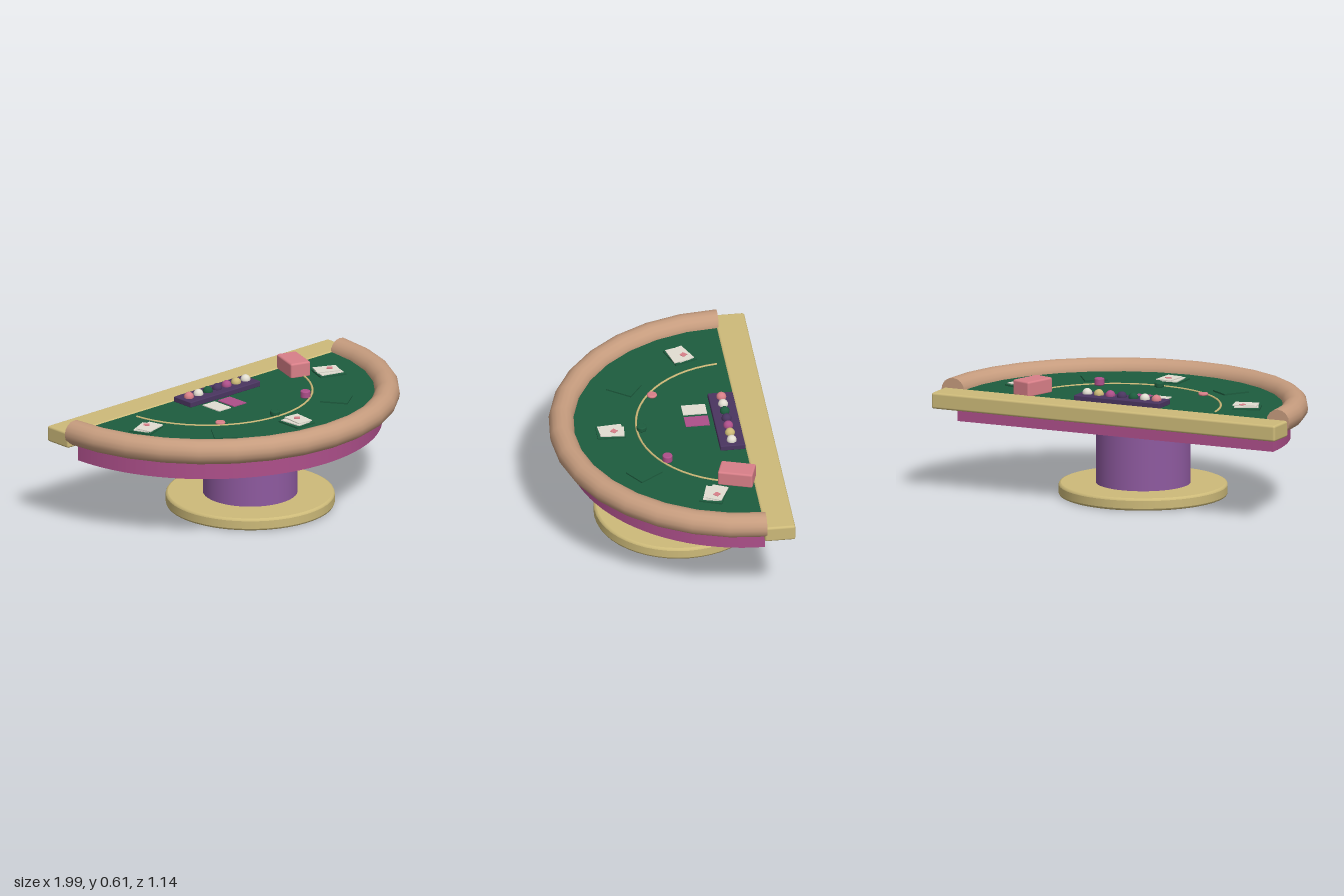
import * as THREE from 'three';
import { RoundedBoxGeometry } from 'three/addons/geometries/RoundedBoxGeometry.js';

const mat = (name, color) => {
  const m = new THREE.MeshStandardMaterial({ color });
  m.name = name;
  return m;
};

export function createModel() {
  const tan = mat('tan leather', 0xc69c7e);
  const gold = mat('gold wood', 0xcdba79);
  const magenta = mat('magenta', 0xad4f8a);
  const purple = mat('purple', 0x8e5a9f);
  const dark = mat('dark purple', 0x4a3560);
  const green = mat('green felt', 0x1d5c3e);
  const pink = mat('pink', 0xd87f88);
  const white = mat('white', 0xe2ded2);

  const root = new THREE.Group();
  root.name = 'cardTable';
  const BACK = -0.425; // straight edge of the half-round top
  const FELT = 0.53;

  function add(name, geo, material, x, y, z, parent = root) {
    const m = new THREE.Mesh(geo, material);
    m.name = name;
    m.position.set(x, y, z);
    parent.add(m);
    return m;
  }

  // Disc with a small bevel on both rims
  function disc(r, h, b, seg) {
    const p = [[0, 0], [r - b, 0], [r - b, 0], [r - b * 0.3, b * 0.3], [r, b], [r, b],
      [r, h - b], [r, h - b], [r - b * 0.3, h - b * 0.3], [r - b, h], [r - b, h], [0, h]];
    return new THREE.LatheGeometry(p.map(([x, y]) => new THREE.Vector2(x, y)), seg);
  }

  // Half-round slab, closed along its straight back
  function halfSlab(name, r, y0, y1, material) {
    const g = new THREE.Group();
    g.name = name;
    const h = y1 - y0, y = (y0 + y1) / 2;
    add(name + 'Body', new THREE.CylinderGeometry(r, r, h, 48, 1, false, -Math.PI / 2, Math.PI), material, 0, y, BACK, g);
    add(name + 'Back', new THREE.PlaneGeometry(2 * r, h).rotateY(Math.PI), material, 0, y, BACK, g);
    root.add(g);
  }

  // Foot and pedestal
  add('footDisc', disc(0.437, 0.065, 0.012, 48), gold, 0, 0, -0.095);
  add('pedestal', new THREE.CylinderGeometry(0.245, 0.245, 0.31, 48), purple, 0, 0.215, -0.095);

  // Apron, playing surface and dealer's ledge
  halfSlab('apron', 0.905, 0.365, 0.47, magenta);
  halfSlab('felt', 0.92, 0.468, FELT, green);
  add('dealerLedge', new RoundedBoxGeometry(1.97, 0.085, 0.16, 3, 0.012), gold, 0, 0.4925, -0.493);

  // Padded arm rail with closed ends
  add('armRail', new THREE.TorusGeometry(0.932, 0.065, 16, 16, Math.PI).rotateX(Math.PI / 2), tan, 0, 0.525, BACK);
  for (const s of [-1, 1]) {
    add('railEnd', new THREE.CircleGeometry(0.065, 16).rotateY(Math.PI), tan, s * 0.932, 0.525, BACK);
  }

  // Printed arc on the felt
  const start = 0.1;
  add('feltArc', new THREE.TorusGeometry(0.545, 0.006, 6, 28, Math.PI - 2 * start)
    .rotateZ(start).rotateX(Math.PI / 2), gold, 0, FELT, BACK);

  // Chip tray
  add('chipTray', new RoundedBoxGeometry(0.49, 0.03, 0.13, 2, 0.005), dark, 0, FELT + 0.013, -0.347);
  [pink, white, green, dark, magenta, gold, white].forEach((m, i) => {
    add('trayChip', new THREE.SphereGeometry(0.026, 16, 10), m, -0.198 + i * 0.066, FELT + 0.032, -0.347);
  });

  // Dealer's cards
  const card = new THREE.BoxGeometry(0.085, 0.005, 0.125);
  add('dealerCard', card, white, -0.14, FELT + 0.004, -0.197);
  add('dealerCardFaceDown', card, magenta, -0.034, FELT + 0.004, -0.197);

  // Card shoe
  const shoe = add('cardShoe', new RoundedBoxGeometry(0.112, 0.082, 0.182, 3, 0.01), pink, 0.52, 0.566, -0.33);
  shoe.rotation.y = -0.31;

  // Player places, alternate ones with a dealt hand
  const spot = new THREE.BoxGeometry(0.122, 0.008, 0.145);
  const diamond = new THREE.CylinderGeometry(0.021, 0.021, 0.003, 4);
  [-70, -35, 0, 35, 70].forEach((deg, i) => {
    const a = THREE.MathUtils.degToRad(deg);
    const g = new THREE.Group();
    g.name = 'playerPlace';
    g.position.set(0.683 * Math.sin(a), FELT, BACK + 0.683 * Math.cos(a));
    root.add(g);
    add('bettingSpot', spot, green, 0, 0.004, 0, g).rotation.y = a;
    if (i % 2 === 0) {
      const hand = new THREE.Group();
      hand.name = 'hand';
      hand.rotation.y = a;
      g.add(hand);
      add('lowerCard', card, white, -0.004, 0.0105, -0.002, hand).rotation.y = 0.08;
      add('upperCard', card, white, 0.018, 0.0155, -0.007, hand).rotation.y = -0.09;
      add('cardPip', diamond, pink, 0.018, 0.0185, -0.016, g);
    }
  });

  // Wagered chip stacks
  [[-35, pink, 0.014], [0, green, 0.026], [35, magenta, 0.038]].forEach(([deg, m, h]) => {
    const a = THREE.MathUtils.degToRad(deg);
    add('betStack', disc(0.026, h, 0.005, 20), m, 0.52 * Math.sin(a), FELT, BACK + 0.52 * Math.cos(a));
  });

  return root;
}
